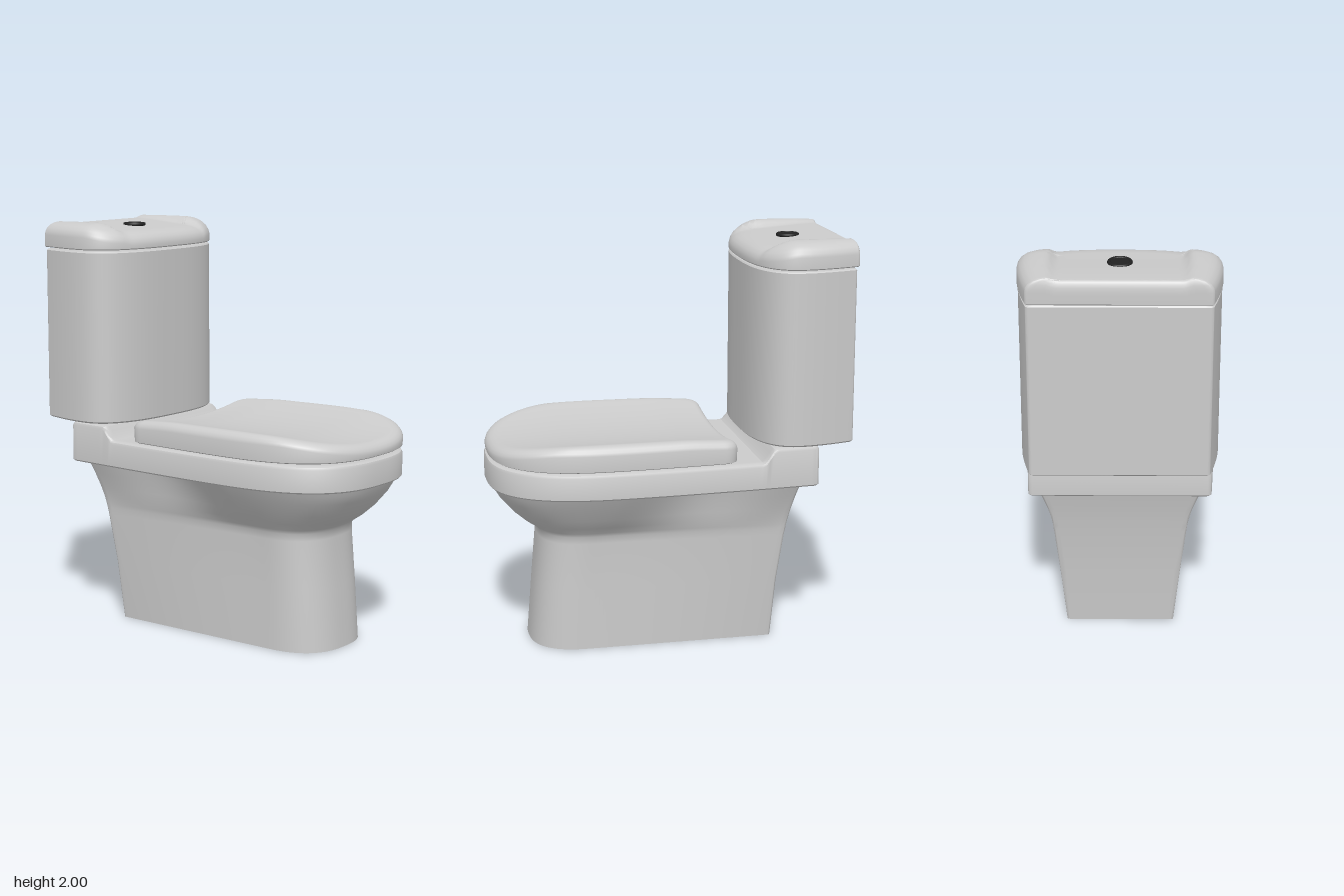
import * as THREE from 'three';
import { toCreasedNormals } from 'three/addons/utils/BufferGeometryUtils.js';

const FRONT = 28, SIDE = 48, CORNER = 5, COLS = 36;
const smooth = THREE.MathUtils.smoothstep;

// Right half of a plan outline, front to back: superellipse nose, tapering side, rounded back corner.
// zf/zb = front and back z, w = widest half width (at z = zm), wb = half width at the back,
// waist = how far the side is drawn in between them.
function halfOutline({ zf, zb, zm, w, wb, n = 2.6, r = 0.02, waist = 0 }) {
  const pts = [];
  for (let i = 0; i <= FRONT; i++) {
    const t = (i / FRONT) * Math.PI / 2;
    const c = i === FRONT ? 0 : Math.cos(t);
    pts.push([w * Math.sin(t) ** (2 / n), zm + (zf - zm) * c ** (2 / n)]);
  }
  for (let i = 1; i <= SIDE; i++) {
    const t = i / SIDE;
    pts.push([w + (wb - w) * t ** 1.6 - waist * Math.sin(Math.PI * t) ** 2, zm + (zb + r - zm) * t]);
  }
  for (let i = 1; i <= CORNER; i++) {
    const a = (i / CORNER) * Math.PI / 2;
    pts.push([wb - r + r * Math.cos(a), zb + r - r * Math.sin(a)]);
  }
  return pts;
}

// Shrinks an outline by d all round (the back edge by db).
const inset = (p, d, db = d) => ({ ...p, zf: p.zf - d, zb: p.zb + db, w: p.w - d, wb: p.wb - d });

// Skins a stack of [outline, height] rings and closes the ends; height is a number or f(x, z).
function loft(rings, { crease = 0.6, openBottom = false } = {}) {
  const pos = [], idx = [];
  const rows = FRONT + SIDE + CORNER + 1;
  const put = (x, z, y) => pos.push(x, typeof y === 'function' ? y(x, z) : y, z);

  const count = 2 * rows - 1 + COLS - 1;
  for (const [outline, y] of rings) {
    const half = halfOutline(outline);
    const [xb, zb] = half[rows - 1];
    half.forEach(([x, z]) => put(x, z, y));
    for (let k = COLS - 1; k > 0; k--) put(xb * (2 * k / COLS - 1), zb, y);
    for (let i = rows - 1; i > 0; i--) put(-half[i][0], half[i][1], y);
  }
  for (let j = 0; j < rings.length - 1; j++) {
    for (let i = 0; i < count; i++) {
      const a = j * count + i, b = j * count + (i + 1) % count;
      idx.push(a, b, b + count, a, b + count, a + count);
    }
  }
  // End caps: a grid of rows spanning the outline from side to side.
  const cap = ([outline, y], up) => {
    const base = pos.length / 3, s = COLS + 1;
    for (const [x, z] of halfOutline(outline))
      for (let k = 0; k <= COLS; k++) put(x * (2 * k / COLS - 1), z, y);
    for (let i = 0; i < rows - 1; i++) {
      for (let k = 0; k < COLS; k++) {
        const a = base + i * s + k;
        if (up) idx.push(a + s, a, a + s + 1);
        else idx.push(a + s, a + s + 1, a);
        if (i === 0) continue; // the first row is a single point
        if (up) idx.push(a, a + 1, a + s + 1);
        else idx.push(a, a + s + 1, a + 1);
      }
    }
  };
  if (!openBottom) cap(rings[0], false);
  cap(rings[rings.length - 1], true);

  const g = new THREE.BufferGeometry();
  g.setAttribute('position', new THREE.Float32BufferAttribute(pos, 3));
  g.setIndex(idx);
  return toCreasedNormals(g, crease);
}

export function createModel() {
  const model = new THREE.Group();
  const grey = new THREE.MeshStandardMaterial({ color: 0xcccccc });
  const shell = new THREE.MeshStandardMaterial({ color: 0xcccccc, side: THREE.DoubleSide });
  const dark = new THREE.MeshStandardMaterial({ color: 0x222222 });
  const add = (name, geometry, material = grey) => {
    const mesh = new THREE.Mesh(geometry, material);
    mesh.name = name;
    model.add(mesh);
    return mesh;
  };

  // Hollow pedestal flaring into the bowl:
  // y, front z, front half width, back half width, back z, widest z, waist
  add('pedestal', loft([
    [0, 0.68, 0.262, 0.262, -0.50, 0.40, 0],
    [0.3, 0.655, 0.26, 0.292, -0.52, 0.40, 0],
    [0.54, 0.634, 0.26, 0.318, -0.55, 0.38, 0],
    [0.575, 0.634, 0.263, 0.322, -0.556, 0.37, 0],
    [0.595, 0.652, 0.275, 0.325, -0.559, 0.36, 0.002],
    [0.63, 0.704, 0.307, 0.332, -0.565, 0.34, 0.012],
    [0.68, 0.762, 0.345, 0.345, -0.575, 0.32, 0.03],
    [0.75, 0.822, 0.39, 0.37, -0.59, 0.30, 0.052],
    [0.79, 0.845, 0.415, 0.386, -0.60, 0.29, 0.062],
    [0.825, 0.858, 0.435, 0.40, -0.61, 0.28, 0.07],
  ].map(([y, zf, w, wb, zb, zm, waist]) => [{ zf, zb, zm, w, wb, waist, r: 0.012 }, y]),
  { crease: 0.8, openBottom: true }), shell);

  // Bowl rim with the raised shelf that carries the tank
  const rim = { zf: 0.875, zb: -0.69, zm: 0.25, w: 0.467, wb: 0.428, n: 2.7 };
  const rimTop = (x, z) => 0.945 + 0.07 * smooth(-z, 0.405, 0.475);
  add('bowlRim', loft([
    [inset(rim, 0.006), 0.815],
    [rim, 0.822],
    [rim, (x, z) => rimTop(x, z) - 0.018],
    [inset(rim, 0.005), (x, z) => rimTop(x, z) - 0.006],
    [inset(rim, 0.018), rimTop],
  ]));

  // Seat lid, dished across its width and falling towards the front
  const lid = { zf: 0.87, zb: -0.285, zm: 0.3, w: 0.48, wb: 0.458, n: 2.65, r: 0.06 };
  const lidTop = (x, z) =>
    1.035 + 0.048 * Math.min(1, (x / 0.44) ** 2) - 0.014 * smooth(z, 0.5, 0.87) - 0.01 * smooth(-z, 0, 0.28);
  const lidEdge = [[0, 0.045], [0.004, 0.031], [0.013, 0.018], [0.027, 0.008], [0.045, 0.002], [0.065, 0]];
  add('seatLid', loft([
    [inset(lid, 0.01), 0.957],
    [inset(lid, 0.002), 0.962],
    ...lidEdge.map(([d, drop]) => [inset(lid, d, d * 0.6), (x, z) => lidTop(x, z) - drop]),
  ]));

  // Tank with a bowed front and flat back
  const tank = { zf: -0.38, zb: -0.86, zm: -0.61, w: 0.454, wb: 0.412, n: 2.7, r: 0.015 };
  add('tank', loft([
    [inset(tank, 0.008), 1.02],
    [tank, 1.028],
    [tank, 1.86],
    [inset(tank, 0.006), 1.866],
  ]));

  // Tank lid with a shallow tray between two raised shoulders
  const cover = { ...tank, zb: -0.872, w: 0.458 };
  const coverTop = (x, z) => {
    const shoulder = 2 - 0.03 * smooth(z, -0.58, -0.4);
    const tray = 1.985 - 0.025 * smooth(z, -0.86, -0.42);
    return THREE.MathUtils.lerp(tray, shoulder, smooth(Math.abs(x), 0.275, 0.325));
  };
  const coverEdge = [[0, 0.066], [0.004, 0.049], [0.015, 0.031], [0.035, 0.016], [0.06, 0.007], [0.09, 0.002], [0.115, 0]];
  add('tankLid', loft([
    [inset(cover, 0.004), 1.874],
    [cover, 1.879],
    ...coverEdge.map(([d, drop]) => [inset(cover, d, d * 0.2), (x, z) => coverTop(x, z) - drop]),
  ]));

  // Round flush button
  const ring = add('flushButtonRing', new THREE.TorusGeometry(0.048, 0.009, 10, 32), dark);
  ring.rotation.x = Math.PI / 2;
  ring.position.set(0, 1.975, -0.63);
  const button = add('flushButton', new THREE.CylinderGeometry(0.042, 0.045, 0.03, 32), dark);
  button.position.set(0, 1.964, -0.63);

  return model;
}
